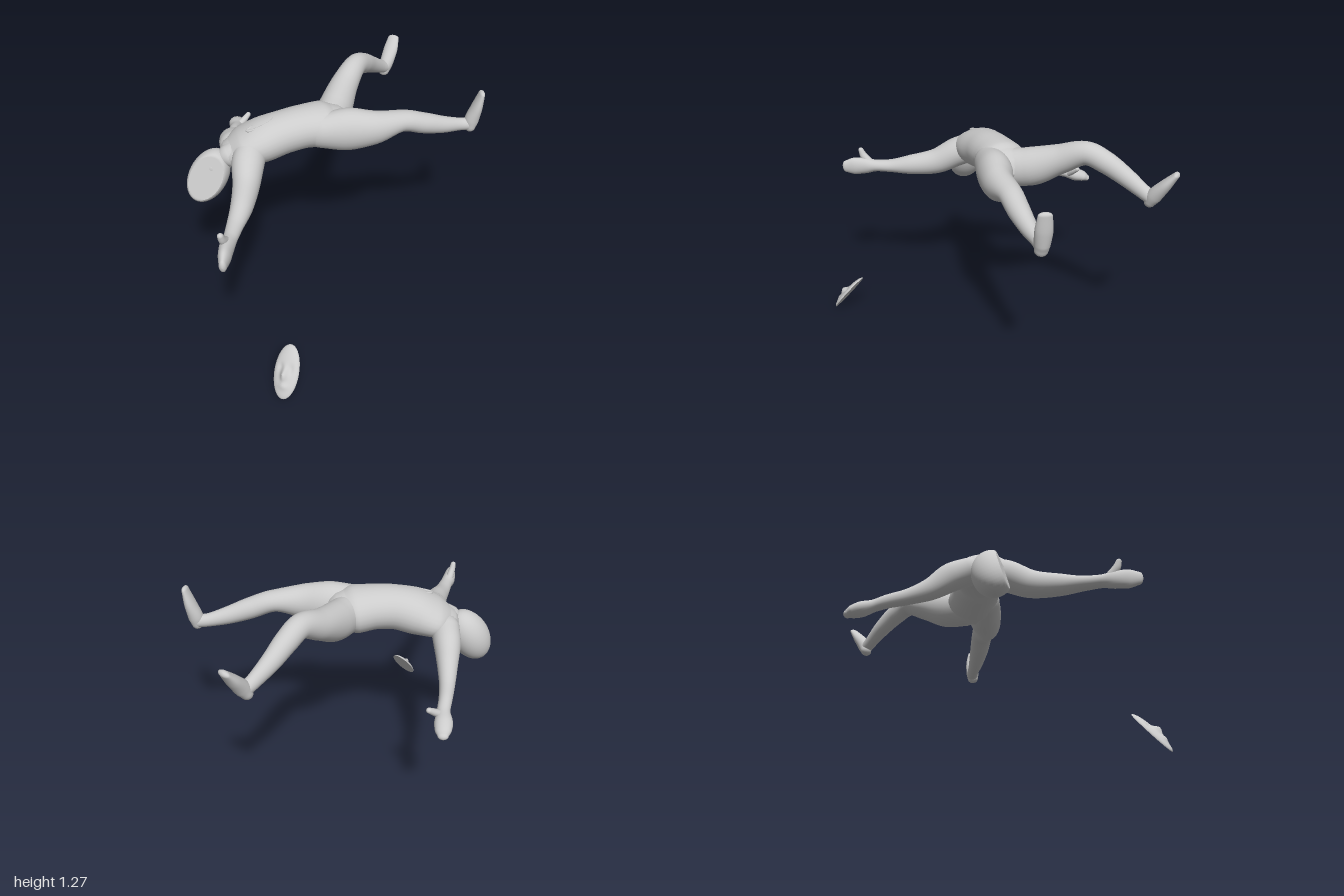
import * as THREE from 'three';

const grey = new THREE.MeshStandardMaterial({ color: 0xcccccc });
const V = (x, y, z) => new THREE.Vector3(x, y, z);

// Smooth tube through stations [x, y, z, sideRadius, upRadius] with rounded ends
function loft(name, stations, sideHint, seg = 28, steps = 7) {
  const curve = new THREE.CatmullRomCurve3(stations.map(s => V(s[0], s[1], s[2])));
  const radii = new THREE.CatmullRomCurve3(stations.map(s => V(s[3], s[4], 0)));
  const hint = V(...sideHint);
  const n = (stations.length - 1) * steps;
  const rings = [];
  const cap = (t, dir) => [0, 0.25, 0.5, 0.75, 1].map(k => ({ t, dir, a: k * Math.PI / 2 }));
  rings.push(...cap(0, -1).reverse());
  for (let i = 1; i < n; i++) rings.push({ t: i / n, dir: 0, a: 0 });
  rings.push(...cap(1, 1));
  const pos = [], idx = [];
  rings.forEach(({ t, dir, a }, i) => {
    const c = curve.getPoint(t), r = radii.getPoint(t), tan = curve.getTangent(t);
    const side = hint.clone().addScaledVector(tan, -hint.dot(tan)).normalize();
    const up = tan.clone().cross(side);
    c.addScaledVector(tan, dir * Math.sin(a) * Math.min(r.x, r.y));
    const k = Math.cos(a);
    for (let j = 0; j < seg; j++) {
      const w = j / seg * Math.PI * 2;
      const p = c.clone().addScaledVector(side, Math.cos(w) * r.x * k).addScaledVector(up, Math.sin(w) * r.y * k);
      pos.push(p.x, p.y, p.z);
      if (i < rings.length - 1) {
        const A = i * seg + j, B = i * seg + (j + 1) % seg;
        idx.push(A, B, A + seg, B, B + seg, A + seg);
      }
    }
  });
  const g = new THREE.BufferGeometry();
  g.setAttribute('position', new THREE.Float32BufferAttribute(pos, 3));
  g.setIndex(idx);
  g.computeVertexNormals();
  const m = new THREE.Mesh(g, grey);
  m.name = name;
  return m;
}

// Ellipsoid shaped by a rule on unit-sphere points, placed by its long axis and facing direction
function sculpt(name, centre, long, face, size, rule) {
  let g = new THREE.SphereGeometry(1, 40, 32).rotateX(Math.PI / 2);
  const p = g.attributes.position, v = V(0, 0, 0);
  for (let i = 0; i < p.count; i++) {
    rule(v.fromBufferAttribute(p, i));
    p.setXYZ(i, v.x, v.y, v.z);
  }
  const f = V(...face).normalize(), l = V(...long);
  l.addScaledVector(f, -l.dot(f)).normalize();
  const basis = new THREE.Matrix4().makeBasis(l.clone().cross(f), l, f).setPosition(...centre);
  g.scale(...size).applyMatrix4(basis);
  g = g.toNonIndexed();
  g.computeVertexNormals();
  // keep the cut crisp and the rest smooth
  const m = new THREE.Mesh(creased(g), grey);
  m.name = name;
  return m;
}

// Averages face normals at shared points unless they meet at a sharp angle
function creased(g) {
  const p = g.attributes.position, nrm = g.attributes.normal, at = new Map();
  const key = i => [p.getX(i), p.getY(i), p.getZ(i)].map(c => Math.round(c * 1e5)).join();
  const flat = Array.from({ length: p.count }, (_, i) => V(0, 0, 0).fromBufferAttribute(nrm, i));
  flat.forEach((_, i) => { const k = key(i); at.has(k) ? at.get(k).push(i) : at.set(k, [i]); });
  flat.forEach((f, i) => {
    const s = f.clone();
    for (const j of at.get(key(i))) if (flat[j].dot(f) > 0.8) s.add(flat[j]);
    s.normalize();
    nrm.setXYZ(i, s.x, s.y, s.z);
  });
  return g;
}

export function createModel() {
  const body = new THREE.Group();
  body.name = 'fallingFigure';
  const across = [0.3, 0.12, 0.95];

  // Arched torso, shoulders to pelvis
  body.add(loft('torso', [
    [-0.58, 0.995, 0.08, 0.11, 0.075], [-0.52, 1.02, 0.062, 0.16, 0.1], [-0.42, 1.05, 0.04, 0.152, 0.12],
    [-0.3, 1.08, 0.005, 0.132, 0.12], [-0.2, 1.09, -0.035, 0.135, 0.12], [-0.1, 1.085, -0.075, 0.15, 0.125],
    [-0.05, 1.08, -0.095, 0.13, 0.11]], across));
  body.add(loft('neck', [[-0.52, 1.02, 0.09, 0.085, 0.08], [-0.61, 0.985, 0.12, 0.065, 0.065],
    [-0.69, 0.93, 0.13, 0.065, 0.065]], across));

  // Head with the face sliced off flat
  body.add(sculpt('head', [-0.72, 0.875, 0.148], [0.48, 0.87, -0.2], [-0.1, 0.28, 0.95],
    [0.108, 0.17, 0.112], v => { v.z = Math.min(v.z, 0.52); }));

  // Legs
  body.add(loft('rightLeg', [
    [-0.1, 1.085, 0.0, 0.085, 0.1], [0.05, 1.08, -0.03, 0.1, 0.125], [0.2, 1.083, -0.047, 0.085, 0.1],
    [0.36, 1.095, -0.105, 0.066, 0.06], [0.48, 1.057, -0.145, 0.06, 0.06], [0.6, 1.02, -0.19, 0.047, 0.05],
    [0.7, 1.0, -0.23, 0.036, 0.038], [0.755, 0.995, -0.245, 0.036, 0.036]], [0.25, 0, 0.97]));
  body.add(loft('leftLeg', [
    [-0.06, 1.07, -0.12, 0.1, 0.11], [-0.025, 1.09, -0.24, 0.098, 0.11], [0.02, 1.15, -0.39, 0.082, 0.085],
    [0.085, 1.21, -0.53, 0.064, 0.066], [0.13, 1.175, -0.63, 0.06, 0.062], [0.18, 1.115, -0.73, 0.05, 0.053],
    [0.24, 1.055, -0.82, 0.038, 0.042], [0.27, 1.03, -0.86, 0.036, 0.038]], [0.87, 0, 0.48]));

  // Feet, heel to toes
  body.add(loft('rightFoot', [
    [0.763, 0.98, -0.243, 0.036, 0.033], [0.768, 1.02, -0.246, 0.042, 0.042],
    [0.79, 1.1, -0.25, 0.046, 0.033], [0.811, 1.19, -0.252, 0.036, 0.017]], [0.1, 0, 1]));
  body.add(loft('leftFoot', [
    [0.268, 1.005, -0.862, 0.036, 0.033], [0.283, 1.045, -0.878, 0.042, 0.042],
    [0.308, 1.115, -0.925, 0.046, 0.033], [0.327, 1.18, -0.972, 0.036, 0.018]], [0.87, 0, 0.48]));

  // Arms running into hands
  body.add(loft('rightArm', [
    [-0.47, 1.04, 0.08, 0.09, 0.09], [-0.485, 1.0, 0.19, 0.09, 0.088], [-0.485, 0.937, 0.32, 0.074, 0.078],
    [-0.492, 0.91, 0.48, 0.06, 0.062], [-0.51, 0.895, 0.61, 0.045, 0.04], [-0.52, 0.892, 0.7, 0.038, 0.036],
    [-0.53, 0.888, 0.77, 0.038, 0.05], [-0.532, 0.885, 0.84, 0.033, 0.055], [-0.532, 0.882, 0.9, 0.02, 0.038]], [1, 0, 0]));
  body.add(loft('leftArm', [
    [-0.59, 0.985, 0.0, 0.08, 0.075], [-0.615, 0.945, -0.09, 0.075, 0.08], [-0.635, 0.87, -0.2, 0.056, 0.062],
    [-0.65, 0.825, -0.32, 0.042, 0.044], [-0.655, 0.805, -0.43, 0.036, 0.038], [-0.655, 0.787, -0.5, 0.035, 0.033],
    [-0.665, 0.765, -0.57, 0.048, 0.04], [-0.67, 0.75, -0.62, 0.042, 0.032], [-0.673, 0.738, -0.645, 0.028, 0.02]], [1, 0, 0]));

  // Thumbs
  body.add(loft('rightThumb', [[-0.535, 0.91, 0.75, 0.024, 0.026], [-0.545, 0.95, 0.785, 0.02, 0.023],
    [-0.55, 0.985, 0.8, 0.016, 0.016]], [1, 0, 0], 16));
  body.add(loft('leftThumb', [[-0.645, 0.78, -0.52, 0.024, 0.024], [-0.61, 0.81, -0.55, 0.019, 0.02],
    [-0.587, 0.832, -0.572, 0.015, 0.015]], [0, 1, 0], 16));

  // Thin lip of the open cut on the chest, laid on the torso surface
  const lip = [];
  for (let i = 0; i < 16; i++) {
    const a = i / 16 * Math.PI * 2, u = Math.cos(a), w = Math.sin(a) * 0.02;
    lip.push(V(-0.425 + 0.07 * u + w * 0.3, 1.163 + 0.021 * u - Math.abs(w) * 0.1, 0.07 - 0.032 * u + w));
  }
  const cut = new THREE.Mesh(new THREE.TubeGeometry(new THREE.CatmullRomCurve3(lip, true), 48, 0.007, 8, true), grey);
  cut.name = 'chestCut';
  body.add(cut);

  // Fallen face: flat back, brow, nose and mouth relief
  body.add(sculpt('fallenFace', [-0.252, 0.12, 0.9], [0.17, 0.75, -0.64], [-0.35, 0.62, 0.7],
    [0.073, 0.15, 0.04], v => {
      const bump = (x, y, sx, sy) => Math.exp(-(((v.x - x) / sx) ** 2) - (((v.y - y) / sy) ** 2));
      if (v.z <= 0) { v.z = 0; return; }
      const rim = Math.min(1, v.z * 2);
      v.z = v.z * 0.7 + rim * (0.6 * bump(0, -0.1, 0.25, 0.2) + 0.25 * bump(0, -0.5, 0.4, 0.12)
        - 0.2 * bump(0.4, 0.15, 0.25, 0.15) - 0.2 * bump(-0.4, 0.15, 0.25, 0.15));
    }));
  return body;
}
